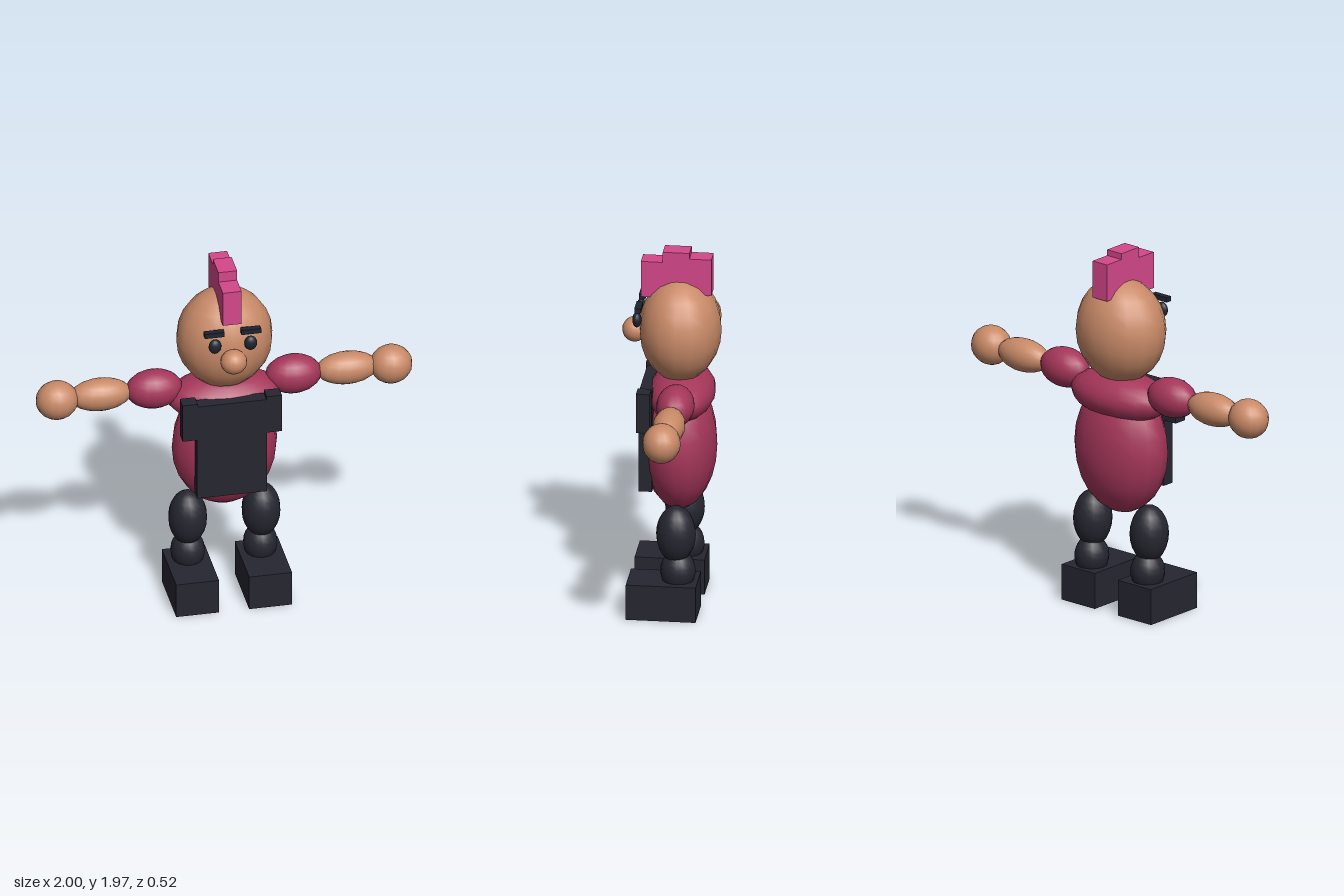
import * as THREE from 'three';

const paint = (name, color) => {
  const m = new THREE.MeshStandardMaterial({ color });
  m.name = name;
  return m;
};

export function createModel() {
  const skin = paint('skin', 0xc98a68);
  const maroon = paint('maroon cloth', 0xa5365a);
  const dark = paint('dark cloth', 0x262631);
  const ink = paint('eye black', 0x1f232e);
  const pink = paint('pink hair', 0xd4478a);

  const model = new THREE.Group();
  model.name = 'figure';

  const add = (name, geometry, material, parent = model) => {
    const mesh = new THREE.Mesh(geometry, material);
    mesh.name = name;
    parent.add(mesh);
    return mesh;
  };
  // Smooth ellipsoid from a centre and three radii
  const ball = (name, material, centre, radii, parent) => {
    const g = new THREE.SphereGeometry(1, 16, 12).scale(...radii);
    add(name, g, material, parent).position.set(...centre);
  };
  // Box from its lowest and highest corners
  const box = (name, material, lo, hi, parent) => {
    const size = hi.map((v, i) => v - lo[i]);
    const mesh = add(name, new THREE.BoxGeometry(...size), material, parent);
    mesh.position.set(...hi.map((v, i) => (v + lo[i]) / 2));
  };

  // Body
  ball('torso', maroon, [0, 0.89, -0.04], [0.28, 0.355, 0.195]);
  ball('shoulders', maroon, [0, 1.18, -0.05], [0.305, 0.13, 0.175]);
  box('apronPanel', dark, [-0.185, 0.68, 0.085], [0.185, 1.238, 0.155]);

  // Head
  const head = new THREE.Group();
  head.name = 'head';
  model.add(head);
  ball('skull', skin, [0, 1.535, -0.042], [0.255, 0.283, 0.216], head);
  ball('nose', skin, [0, 1.517, 0.197], [0.07, 0.066, 0.066], head);

  // Stepped crest of hair, front to back
  [
    ['crestFront', 1.72, 1.918, 0.045, 0.16],
    ['crestMiddle', 1.73, 1.975, -0.095, 0.045],
    ['crestBack', 1.742, 1.943, -0.21, -0.095],
  ].forEach(([name, y0, y1, z0, z1]) =>
    box(name, pink, [-0.05, y0, z0], [0.05, y1, z1], head));

  // Paired parts
  for (const [side, s] of [['left', 1], ['right', -1]]) {
    const pair = (x0, x1) => (s > 0 ? [x0, x1] : [-x1, -x0]);

    ball(side + 'Eye', ink, [s * 0.095, 1.608, 0.175], [0.034, 0.041, 0.024], head);
    const [b0, b1] = pair(0.045, 0.15);
    box(side + 'Brow', ink, [b0, 1.665, 0.148], [b1, 1.692, 0.182], head);

    const [p0, p1] = pair(0.183, 0.264);
    box(side + 'Strap', dark, [p0, 1.04, 0.088], [p1, 1.258, 0.16]);

    const arm = new THREE.Group();
    arm.name = side + 'Arm';
    model.add(arm);
    ball(side + 'UpperArm', maroon, [s * 0.37, 1.247, -0.06], [0.15, 0.106, 0.1], arm);
    ball(side + 'Forearm', skin, [s * 0.655, 1.247, -0.06], [0.165, 0.088, 0.085], arm);
    ball(side + 'Hand', skin, [s * 0.888, 1.247, -0.05], [0.112, 0.105, 0.1], arm);

    const leg = new THREE.Group();
    leg.name = side + 'Leg';
    model.add(leg);
    ball(side + 'Thigh', dark, [s * 0.195, 0.455, -0.042], [0.102, 0.155, 0.104], leg);
    ball(side + 'Shin', dark, [s * 0.193, 0.25, -0.052], [0.09, 0.11, 0.093], leg);
    const [f0, f1] = pair(0.08, 0.308);
    box(side + 'Boot', dark, [f0, 0.005, -0.158], [f1, 0.2, 0.208], leg);
  }
  return model;
}
